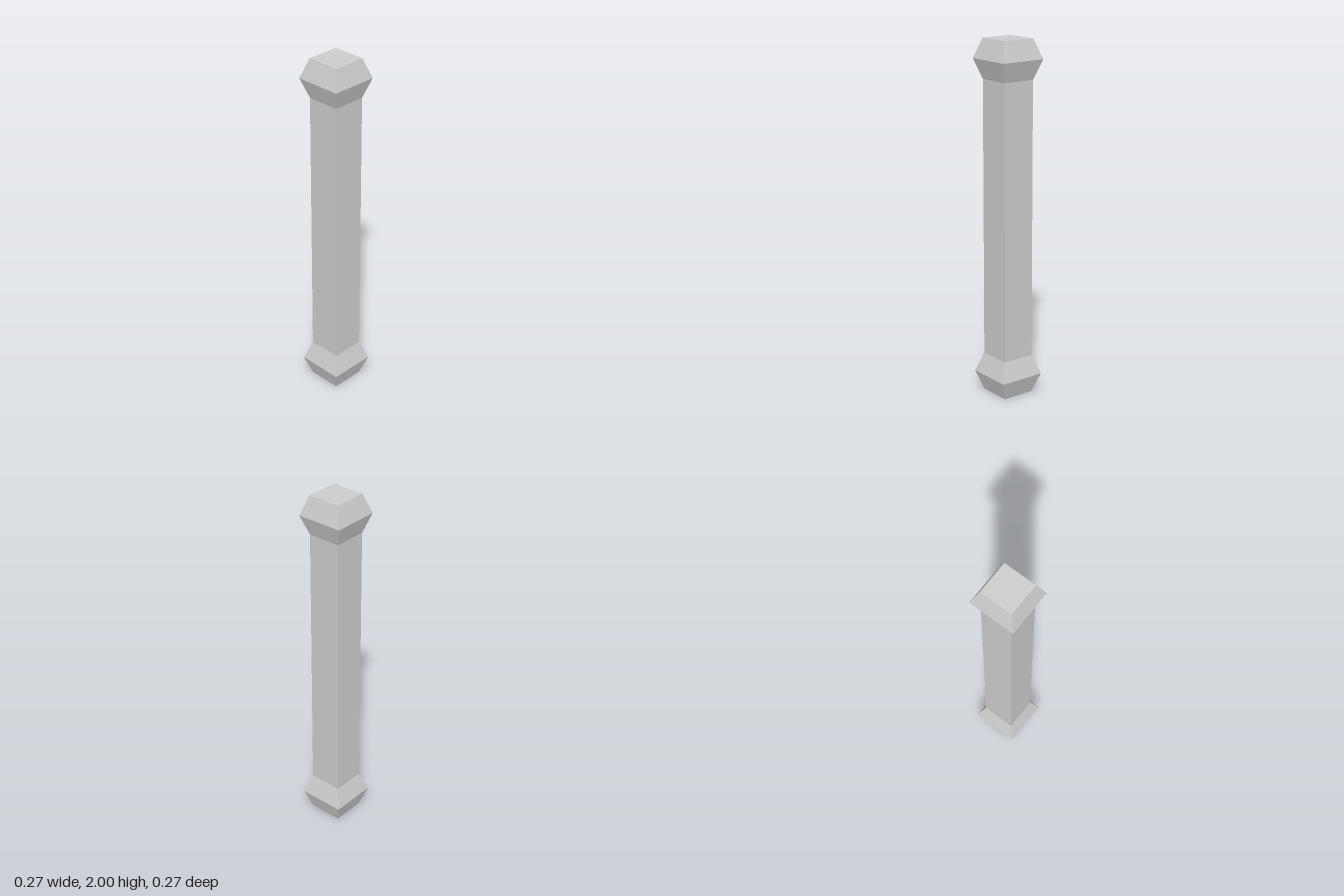
import * as THREE from 'three';

const NARROW = 0.095; // half width of the shaft and of the knob ends
const WIDE = 0.133; // half width at the knob's ridge

// Square section swept up a profile of [half width, height] points
function squareSweep(name, profile, material) {
  const points = profile.map(([half, y]) => new THREE.Vector2(half * Math.SQRT2, y));
  const mesh = new THREE.Mesh(new THREE.LatheGeometry(points, 4, Math.PI / 4), material);
  mesh.name = name;
  return mesh;
}

export function createModel() {
  const group = new THREE.Group();
  group.name = 'post';
  // The post is a hollow shell, open underneath
  const material = new THREE.MeshStandardMaterial({
    color: 0xcccccc, flatShading: true, side: THREE.DoubleSide,
  });

  // Flared foot, open at the bottom
  group.add(squareSweep('footKnob', [[NARROW, 0], [WIDE, 0.11], [NARROW, 0.22]], material));

  // Straight square shaft
  group.add(squareSweep('shaft', [[NARROW, 0.22], [NARROW, 1.78]], material));

  // Flared head
  group.add(squareSweep('headKnob', [[NARROW, 1.78], [WIDE, 1.89], [NARROW, 2]], material));

  // Flat lid closing the head
  const lid = new THREE.Mesh(new THREE.PlaneGeometry(NARROW * 2, NARROW * 2), material);
  lid.name = 'headLid';
  lid.rotation.x = -Math.PI / 2;
  lid.position.y = 2;
  group.add(lid);

  return group;
}
